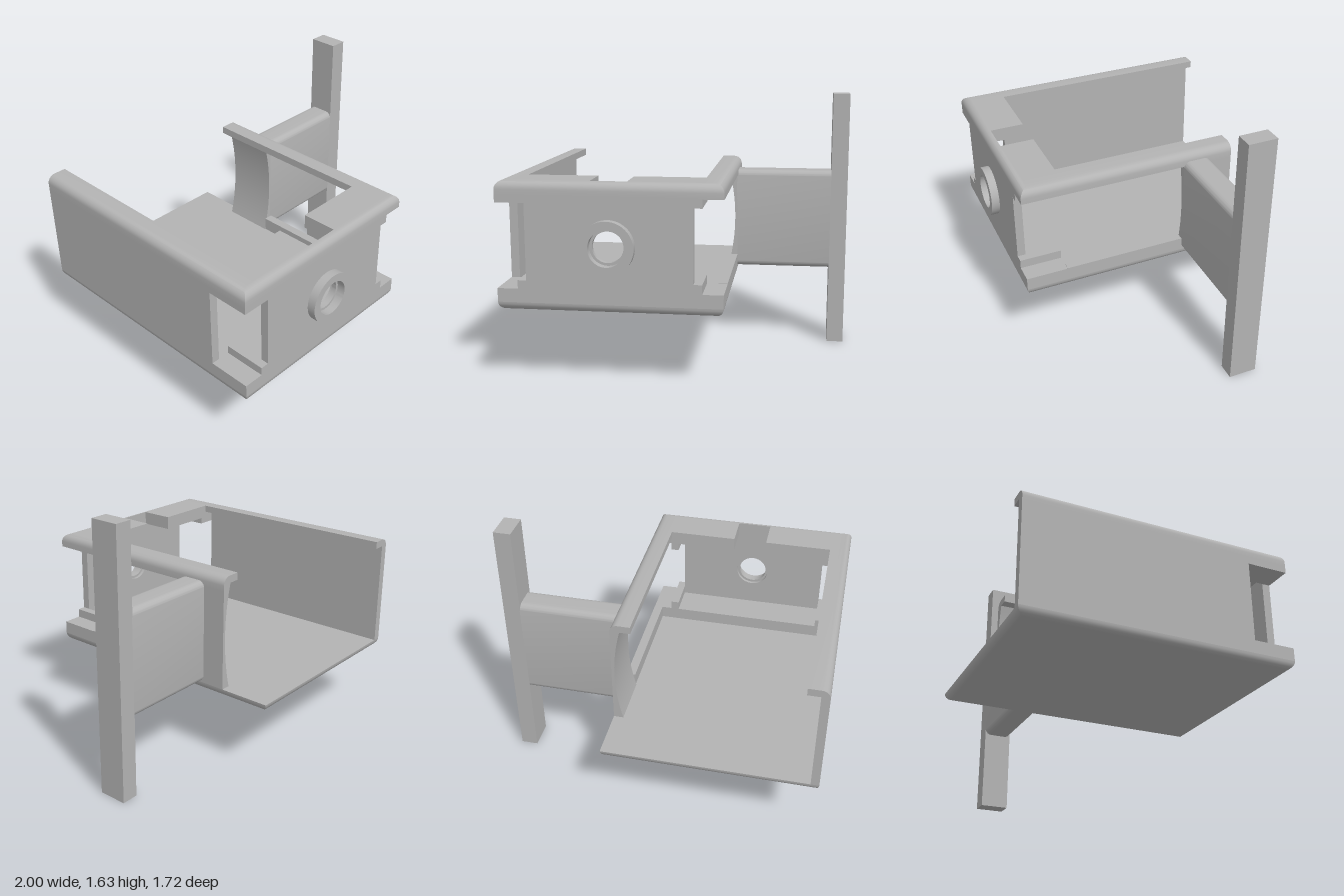
import * as THREE from 'three';
import { toCreasedNormals } from 'three/addons/utils/BufferGeometryUtils.js';

const grey = new THREE.MeshStandardMaterial({ color: 0xb3b3b3 });
grey.name = 'grey plastic';

// Outer limits of the tray
const L = -1, R = 0.295, BACK = -0.86, FRONT = 0.805, BOTTOM = 0.445, TOP = 1.195;
const WALL = 0.05, LEDGE_Z = 0.545, ARM_FRONT = -0.225, ARM_BACK = -0.4;

export function createModel() {
  const model = new THREE.Group();
  model.name = 'trayHolder';

  const add = (name, geometry) => {
    const mesh = new THREE.Mesh(geometry, grey);
    mesh.name = name;
    model.add(mesh);
    return mesh;
  };
  const box = (name, x0, x1, y0, y1, z0, z1) =>
    add(name, new THREE.BoxGeometry(x1 - x0, y1 - y0, z1 - z0))
      .position.set((x0 + x1) / 2, (y0 + y1) / 2, (z0 + z1) / 2);

  // Mitred sweep: profile points [inset, y] run along a rectangular path
  function sweep(profile, corners, closed) {
    const out = [];
    const rows = profile.map(([d, y]) => corners(d).map(([x, z]) => [x, y, z]));
    const n = rows[0].length, m = rows.length;
    for (let j = 0; j < (closed ? m - 1 : m); j++) {
      const a = rows[j], b = rows[(j + 1) % m];
      for (let i = 0; i < (closed ? n : n - 1); i++) {
        const k = (i + 1) % n;
        out.push(...a[i], ...a[k], ...b[i], ...a[k], ...b[k], ...b[i]);
      }
    }
    if (!closed) {
      const pts = profile.map(([d, y]) => new THREE.Vector2(d, y));
      for (const t of THREE.ShapeUtils.triangulateShape(pts, [])) {
        const [p, q, r] = t.map((i) => pts[i]);
        const ccw = q.clone().sub(p).cross(r.clone().sub(p)) > 0 ? t : [...t].reverse();
        for (const i of [...ccw].reverse()) out.push(...rows[i][0]);
        for (const i of ccw) out.push(...rows[i][n - 1]);
      }
    }
    const g = new THREE.BufferGeometry();
    g.setAttribute('position', new THREE.Float32BufferAttribute(out, 3));
    g.computeVertexNormals();
    return toCreasedNormals(g, 0.6);
  }
  const arc = [...Array(7).keys()].map((i) => (i / 6) * Math.PI / 2);

  // Floor with a rounded lower edge
  const half = (R - L) / 2;
  add('floor', sweep(
    [[half, BOTTOM],
      ...arc.map((t) => [WALL * (1 - Math.sin(t)), BOTTOM + WALL * (1 - Math.cos(t))]),
      [half, BOTTOM + WALL]],
    (d) => [[L + d, BACK + d], [L + d, FRONT - d], [R - d, FRONT - d], [R - d, BACK + d]], true));

  // Rounded top rim: left, front and shorter right side
  add('topRim', sweep(
    [[0, 1.11],
      ...arc.map((t) => [WALL * (1 - Math.cos(t)), TOP - WALL * (1 - Math.sin(t))]),
      [0.125, TOP], [0.125, 1.15], [WALL, 1.15], [WALL, 1.11]],
    (d) => {
      const f = FRONT - Math.min(d, WALL);
      return [[L + d, BACK], [L + d, f], [R - d, f], [R - d, -0.545]];
    }, false));

  // Front ledges, with a notch in the upper one
  const inner = FRONT - WALL;
  box('upperLedgeLeft', L + 0.125, -0.46, 1.11, TOP, LEDGE_Z, inner);
  box('upperLedgeRight', -0.25, R - 0.125, 1.11, TOP, LEDGE_Z, inner);
  box('upperCornerLeft', L + WALL, L + 0.125, 1.11, 1.15, LEDGE_Z, inner);
  box('upperCornerRight', R - 0.125, R - WALL, 1.11, 1.15, LEDGE_Z, inner);
  box('lowerLedge', L, R, BOTTOM + WALL, 0.575, LEDGE_Z, inner);

  // Small ribs beside the corner openings
  box('cornerBlock', L, -0.83, 1.07, 1.11, LEDGE_Z, FRONT);
  box('lowerRibLeft', -0.88, -0.83, 0.575, 0.625, LEDGE_Z, FRONT);
  box('lowerRibRight', 0.125, 0.175, 0.575, 0.63, LEDGE_Z, FRONT);
  box('upperRibRight', 0.125, 0.175, 1.06, 1.11, LEDGE_Z, FRONT);

  // Side wall and rail
  box('leftWall', L, L + WALL, BOTTOM + WALL, 1.11, BACK, LEDGE_Z);
  box('rightRail', 0.24, R, BOTTOM + WALL, 0.578, ARM_FRONT, LEDGE_Z);

  // Front wall with a round hole; its lower strip spans the full width
  const cx = -0.355, cy = 0.83;
  const face = new THREE.Shape([
    [L, 0.495], [R, 0.495], [R, 0.575], [0.125, 0.575],
    [0.125, 1.11], [-0.83, 1.11], [-0.83, 0.575], [L, 0.575],
  ].map(([x, y]) => new THREE.Vector2(x, y)));
  face.holes.push(new THREE.Path().absarc(cx, cy, 0.105, 0, Math.PI * 2, true));
  add('frontWall', new THREE.ExtrudeGeometry(face, { depth: WALL, bevelEnabled: false, curveSegments: 32 }))
    .position.z = inner;

  // Raised collar and the narrower seat inside the hole
  const ring = (name, rIn, rOut, z, depth) => {
    const s = new THREE.Shape().absarc(0, 0, rOut, 0, Math.PI * 2, false);
    s.holes.push(new THREE.Path().absarc(0, 0, rIn, 0, Math.PI * 2, true));
    const g = new THREE.ExtrudeGeometry(s, { depth, bevelEnabled: false, curveSegments: 32 });
    add(name, toCreasedNormals(g, 0.6)).position.set(cx, cy, z);
  };
  ring('collar', 0.105, 0.155, FRONT, 0.05);
  ring('holeSeat', 0.09, 0.105, 0.775, 0.03);

  // Right wall panel, hollowed on its inner side
  const panel = new THREE.Shape();
  panel.moveTo(0.235, 0.495);
  panel.lineTo(R, 0.495);
  panel.lineTo(R, 1.11);
  panel.lineTo(0.245, 1.11);
  panel.lineTo(0.245, 1.15);
  panel.lineTo(0.235, 1.15);
  panel.quadraticCurveTo(0.32, 0.8225, 0.235, 0.495);
  const panelGeo = new THREE.ExtrudeGeometry(panel, {
    depth: ARM_FRONT + 0.545, bevelEnabled: false, curveSegments: 20,
  });
  add('rightPanel', toCreasedNormals(panelGeo, 0.6)).position.z = -0.545;

  // Arm with rounded long edges, extruded along x
  const w = (ARM_FRONT - ARM_BACK) / 2, h = 0.32, r = 0.04;
  const section = new THREE.Shape();
  [[w - r, h - r, 0], [-w + r, h - r, 1], [-w + r, -h + r, 2], [w - r, -h + r, 3]].forEach(([x, y, q]) =>
    section.absarc(x, y, r, q * Math.PI / 2, (q + 1) * Math.PI / 2, false));
  const armGeo = new THREE.ExtrudeGeometry(section, { depth: 0.61, bevelEnabled: false, curveSegments: 6 });
  armGeo.rotateY(Math.PI / 2);
  add('arm', toCreasedNormals(armGeo, 0.6)).position.set(0.288, 0.82, (ARM_FRONT + ARM_BACK) / 2);

  // Upright bar at the end of the arm
  box('uprightBar', 0.895, 1, 0, 1.635, ARM_BACK, ARM_FRONT);

  return model;
}
